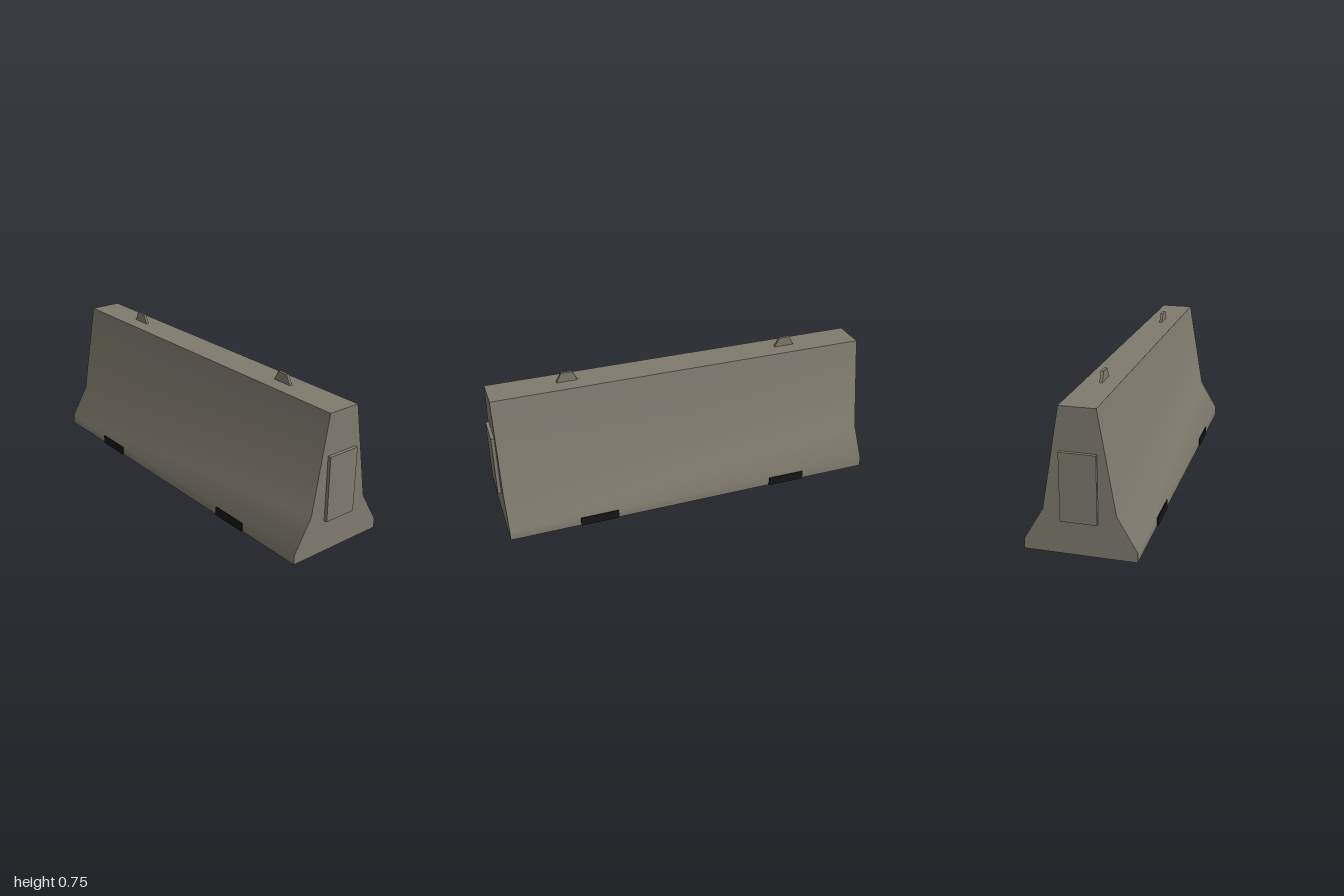
import * as THREE from 'three';
import { toCreasedNormals } from 'three/addons/utils/BufferGeometryUtils.js';

// Extrude a closed profile along z, centred on z = 0
function prism(points, depth) {
  const shape = new THREE.Shape(points.map(([x, y]) => new THREE.Vector2(x, y)));
  const geometry = new THREE.ExtrudeGeometry(shape, { depth, bevelEnabled: false });
  return geometry.translate(0, 0, -depth / 2);
}

export function createModel() {
  const model = new THREE.Group();
  const concrete = new THREE.MeshStandardMaterial({ color: 0x7f7a6d });
  const rubber = new THREE.MeshStandardMaterial({ color: 0x151515 });
  concrete.name = 'concrete';
  rubber.name = 'black rubber';

  function add(name, geometry, material, x = 0, y = 0, z = 0) {
    const mesh = new THREE.Mesh(geometry, material);
    mesh.name = name;
    mesh.position.set(x, y, z);
    model.add(mesh);
    return mesh;
  }

  // Barrier body: soft folds along the flanks, crisp top, base and ends
  const half = [[0.263, 0.001], [0.263, 0.05], [0.169, 0.21], [0.085, 0.697]];
  const profile = [...half, ...half.map(([x, y]) => [-x, y]).reverse()];
  add('barrierBody', toCreasedNormals(prism(profile, 1.966), 0.7), concrete);

  // Raised end plates, lifting lugs and foot pads at both ends
  const lug = prism([[-0.054, -0.01], [0.054, -0.01], [0.054, 0], [0.029, 0.048], [-0.029, 0.048], [-0.054, 0]], 0.014);
  lug.rotateY(Math.PI / 2);
  for (const side of [1, -1]) {
    const end = side > 0 ? 'front' : 'back';
    add(end + 'EndPlate', new THREE.BoxGeometry(0.17, 0.327, 0.03), concrete, 0, 0.3285, side * 0.985);
    add(end + 'LiftingLug', lug, concrete, 0, 0.697, side * 0.589);
    add(end + 'FootPad', new THREE.BoxGeometry(0.536, 0.046, 0.2), rubber, 0, 0.023, side * 0.523);
  }
  return model;
}
